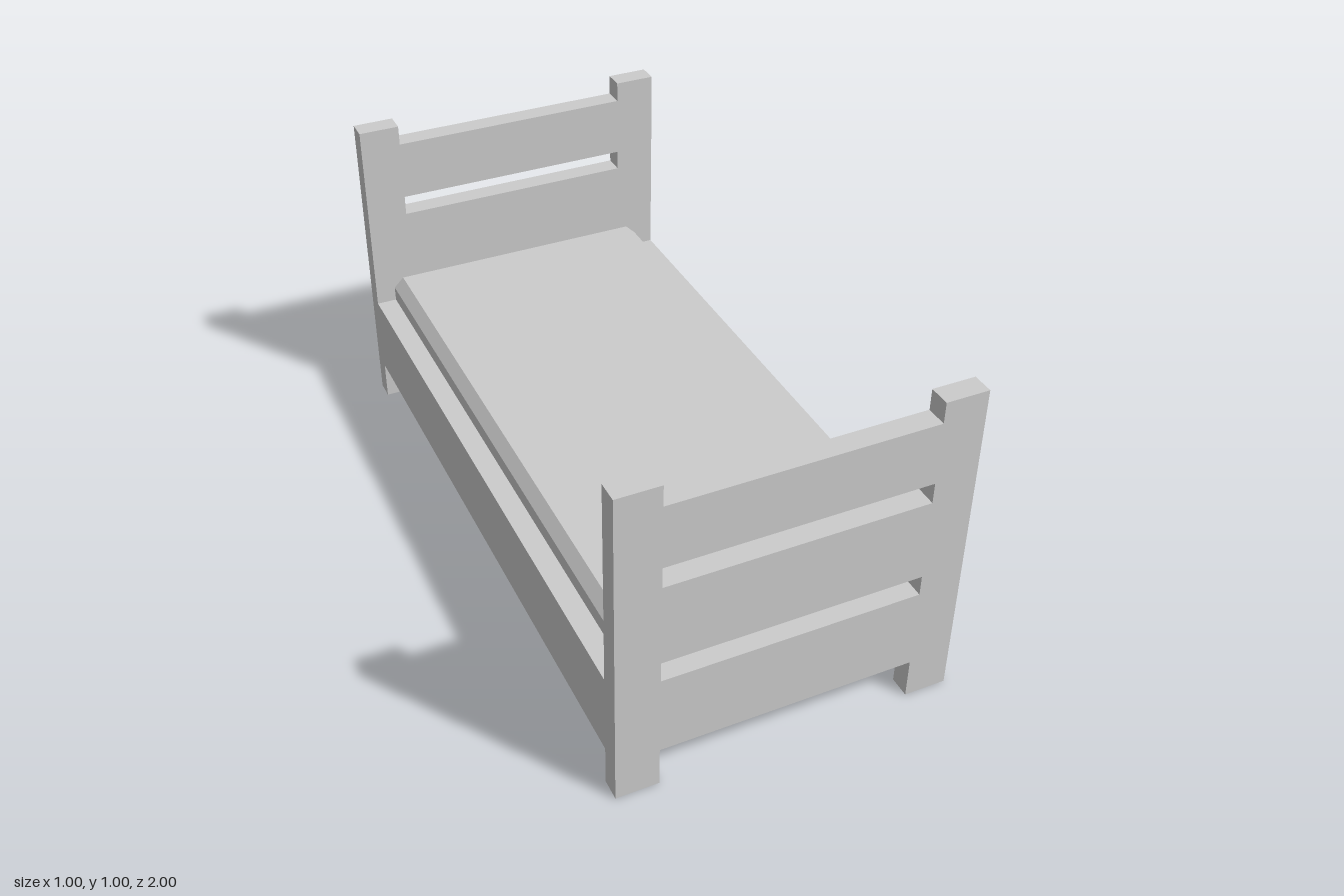
import * as THREE from 'three';

const material = new THREE.MeshStandardMaterial({ color: 0xcccccc, flatShading: true });

function rectangle(Type, x0, y0, x1, y1) {
  const path = new Type();
  path.moveTo(x0, y0);
  path.lineTo(x1, y0);
  path.lineTo(x1, y1);
  path.lineTo(x0, y1);
  path.closePath();
  return path;
}

function polygon(points) {
  return new THREE.Shape(points.map(([x, y]) => new THREE.Vector2(x, y)));
}

function extrude(shape, depth) {
  return new THREE.ExtrudeGeometry(shape, { depth, bevelEnabled: false });
}

export function createModel() {
  const bed = new THREE.Group();
  bed.name = 'bed';

  function add(name, geometry, x = 0, y = 0, z = 0, parent = bed) {
    const mesh = new THREE.Mesh(geometry, material);
    mesh.name = name;
    mesh.position.set(x, y, z);
    parent.add(mesh);
    return mesh;
  }

  // Head and foot boards: two posts joined by three boards with slots between
  const board = polygon([
    [-0.5, 0], [-0.375, 0], [-0.375, 0.125], [0.375, 0.125], [0.375, 0], [0.5, 0],
    [0.5, 1], [0.375, 1], [0.375, 0.9375], [-0.375, 0.9375], [-0.375, 1], [-0.5, 1],
  ]);
  for (const y of [0.375, 0.6875]) {
    board.holes.push(rectangle(THREE.Path, -0.375, y, 0.375, y + 0.0625));
  }
  const boardGeometry = extrude(board, 0.0625);
  add('headboard', boardGeometry, 0, 0, 0.9375);
  add('footboard', boardGeometry, 0, 0, -1);

  // Frame of side and end rails, open underneath
  const ring = rectangle(THREE.Shape, -0.5, -0.9375, 0.5, 0.9375);
  ring.holes.push(rectangle(THREE.Path, -0.4375, -0.875, 0.4375, 0.875));
  add('railFrame', extrude(ring, 0.25).rotateX(-Math.PI / 2), 0, 0.125, 0);

  // Base recessed inside the frame
  add('bedBase', new THREE.BoxGeometry(0.875, 0.1875, 1.75), 0, 0.28125, 0);

  // Mattress with bevelled long edges
  const section = polygon([
    [-0.4375, 0.375], [0.4375, 0.375], [0.4375, 0.422],
    [0.406, 0.453], [-0.406, 0.453], [-0.4375, 0.422],
  ]);
  add('mattress', extrude(section, 1.875), 0, 0, -0.9375);

  // Pillow: thin slab with a tapered top
  const pillow = new THREE.Group();
  pillow.name = 'pillow';
  pillow.position.set(0, 0.453, 0.75);
  bed.add(pillow);
  add('pillowEdge', new THREE.BoxGeometry(0.625, 0.016, 0.375), 0, 0.008, 0, pillow);
  const top = new THREE.BoxGeometry(0.625, 0.0625, 0.375);
  const p = top.attributes.position;
  for (let i = 0; i < p.count; i++) {
    if (p.getY(i) > 0) {
      p.setX(i, p.getX(i) * 0.8);
      p.setZ(i, p.getZ(i) * 2 / 3);
    }
  }
  top.computeVertexNormals();
  add('pillowTop', top, 0, 0.04725, 0, pillow);

  return bed;
}
